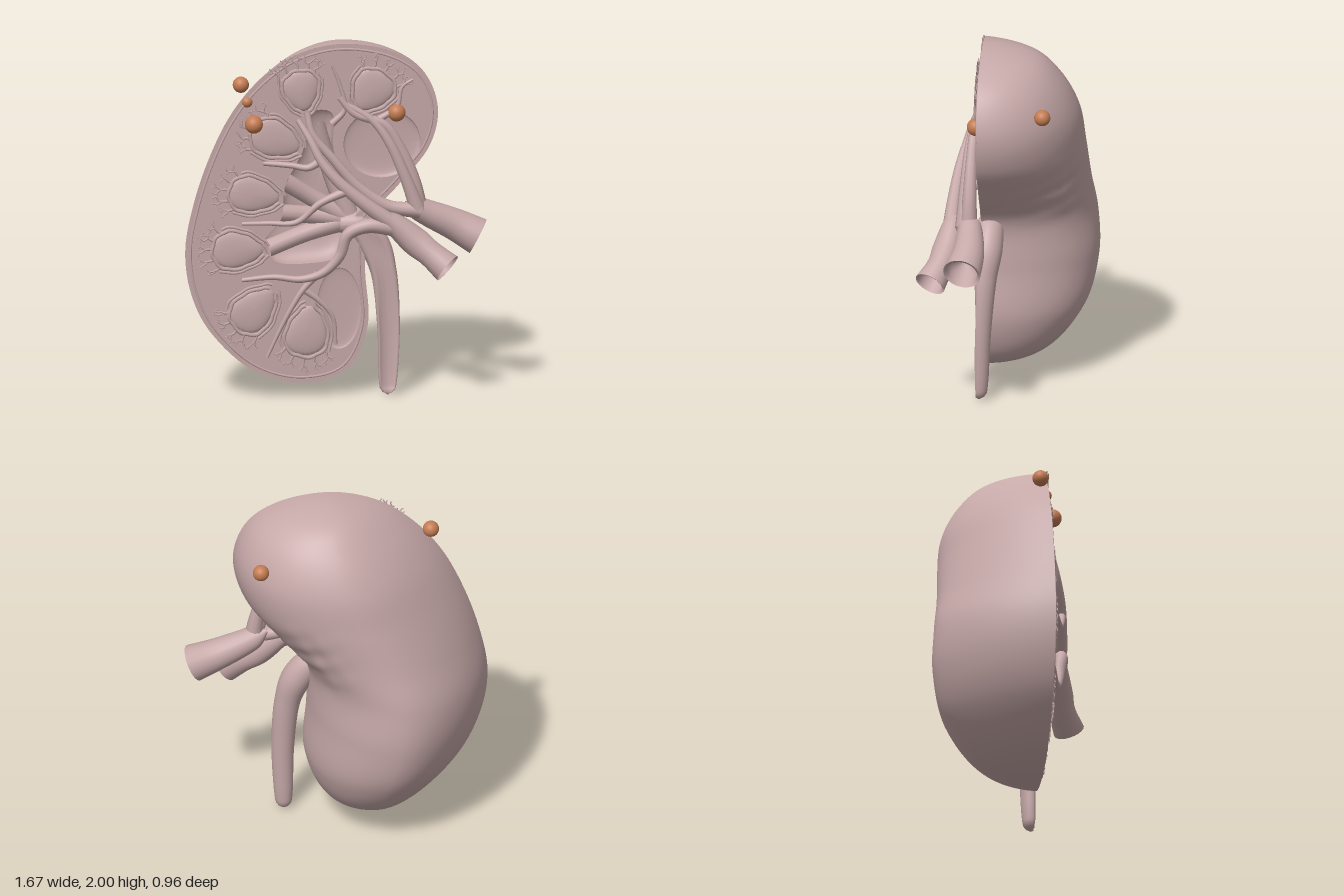
import * as THREE from 'three';
import { mergeGeometries } from 'three/addons/utils/BufferGeometryUtils.js';

const V = (x, y, z = 0) => new THREE.Vector3(x, y, z);
const FACE = 0.14; // z of the cut plane
const tissue = new THREE.MeshStandardMaterial({ color: 0xc6a8a8, side: THREE.DoubleSide });
const orange = new THREE.MeshStandardMaterial({ color: 0xc47c52 });

let seed = 7;
const rnd = () => (seed = (seed * 16807) % 2147483647) / 2147483647;

function add(parent, name, geometry, material = tissue) {
  const mesh = new THREE.Mesh(geometry, material);
  mesh.name = name;
  parent.add(mesh);
  return mesh;
}

// Surface from a grid of points, rows by columns
function gridSurface(rows, cols, at) {
  const pos = [], idx = [];
  for (let i = 0; i <= rows; i++)
    for (let j = 0; j <= cols; j++) {
      pos.push(...at(i / rows, j / cols));
      if (i < rows && j < cols) {
        const a = i * (cols + 1) + j, b = a + cols + 1;
        idx.push(a, b, a + 1, b, b + 1, a + 1);
      }
    }
  const g = new THREE.BufferGeometry();
  g.setAttribute('position', new THREE.Float32BufferAttribute(pos, 3));
  g.setIndex(idx);
  g.computeVertexNormals();
  return g;
}

// Tube through [x, y, z, radius] points
function taperTube(pts, n = 32, sides = 12) {
  const curve = new THREE.CatmullRomCurve3(pts.map(p => V(p[0], p[1], p[2])));
  const radii = new THREE.CatmullRomCurve3(pts.map(p => V(p[3], 0)), false, 'catmullrom', 0.5);
  const g = new THREE.TubeGeometry(curve, n, 1, sides);
  const pos = g.attributes.position, v = V(0, 0);
  for (let i = 0; i <= n; i++) {
    const t = curve.getUtoTmapping(i / n), c = curve.getPoint(t);
    const r = Math.max(radii.getPoint(t).x, 0.0005);
    for (let j = 0; j <= sides; j++) {
      const k = i * (sides + 1) + j;
      v.fromBufferAttribute(pos, k).sub(c).multiplyScalar(r).add(c);
      pos.setXYZ(k, v.x, v.y, v.z);
    }
  }
  return g;
}

// Vessel that sinks from height z0 to the cut face while thinning from r0 to r1
function vessel(parent, z0, r0, r1, path) {
  add(parent, 'branchVessel', taperTube(path.map(([x, y], i) => {
    const t = i / (path.length - 1);
    return [x, y, z0 + (FACE + 0.015 - z0) * t ** 1.7, r0 + (r1 - r0) * t ** 0.7];
  }), 40, 10));
}

// Outline of the cut face: top, left edge, bottom, right edge
const outline = new THREE.CatmullRomCurve3([
  [0.03, 2], [-0.22, 1.945], [-0.42, 1.81], [-0.58, 1.62], [-0.7, 1.38], [-0.79, 1.11], [-0.835, 0.85],
  [-0.8, 0.6], [-0.69, 0.38], [-0.47, 0.17], [-0.2, 0.085], [0.06, 0.15], [0.18, 0.4], [0.165, 0.72],
  [0.18, 0.99], [0.35, 1.19], [0.52, 1.4], [0.57, 1.62], [0.49, 1.83], [0.3, 1.955],
].map(p => V(...p)), true, 'catmullrom', 0.5);
const depth = new THREE.CatmullRomCurve3(
  [0, 0.28, 0.43, 0.53, 0.56, 0.58, 0.61, 0.615, 0.54, 0.33, 0].map(d => V(d, 0)), false, 'catmullrom', 0.5);

// Domed back: half ellipses spanning the outline, wrinkled at the notch
function domeGeometry() {
  return gridSurface(88, 64, (u, s) => {
    const L = outline.getPoint(u / 2), R = outline.getPoint((1 - u / 2) % 1);
    const a = s * Math.PI, sin = Math.sin(a);
    let c = Math.cos(a);
    if (c < 0) c *= 1 - 0.24 * sin;
    const k = (1 - c) / 2;
    const x = R.x + (L.x - R.x) * k, y = R.y + (L.y - R.y) * k;
    const g = Math.exp(-((x - 0.24) ** 2 + (y - 1.12) ** 2) / 0.03);
    const wrinkle = g * sin * (0.025 + 0.014 * Math.sin(40 * y + 22 * x) + 0.01 * Math.sin(31 * y - 47 * x));
    return [x, y, FACE - depth.getPoint(u).x * sin + wrinkle];
  });
}

const oval = (cx, cy, rx, ry) => Array.from({ length: 40 }, (_, i) => {
  const a = i / 40 * Math.PI * 2;
  return V(cx + rx * Math.cos(a), cy + ry * Math.sin(a));
});

// Hollow with steep walls and a flattish floor behind a closed contour
function bowl(contour, cx, cy, deep) {
  const n = contour.length;
  return gridSurface(12, n, (u, s) => {
    const p = contour[(n - Math.round(s * n)) % n], a = u * Math.PI / 2, k = Math.cos(a) ** 0.7;
    return [cx + (p.x - cx) * k, cy + (p.y - cy) * k, FACE - deep * Math.sin(a) ** 0.5];
  });
}

// Teardrop outline of a pyramid, wide end pointing along its angle
function teardrop({ x, y, rx, ry, a }, s, grow) {
  const u = Math.cos(s) * rx * grow, v = Math.sin(s) * ry * grow * (1 + 0.3 * Math.cos(s));
  return V(x + u * Math.cos(a) - v * Math.sin(a), y + u * Math.sin(a) + v * Math.cos(a), FACE);
}

// Forking twig lying on the cut face
function twig(out, p, a, len, r, level) {
  const bend = () => (rnd() - 0.5) * 0.02;
  const dx = Math.cos(a) * len, dy = Math.sin(a) * len, end = V(p.x + dx, p.y + dy, p.z);
  out.push(taperTube([[p.x, p.y, p.z, r], [p.x + dx / 2 + bend(), p.y + dy / 2 + bend(), p.z, r * 0.9],
    [end.x, end.y, end.z, r * 0.75]], 3, 5));
  if (level > 0)
    for (const side of [-1, 1]) twig(out, end, a + side * (0.2 + rnd() * 0.7), len * (0.55 + rnd() * 0.35), r * 0.72, level - 1);
}

export function createModel() {
  const model = new THREE.Group();
  model.name = 'organSection';
  add(model, 'domedBack', domeGeometry());

  // Cut face with three hollows
  const sinus = new THREE.CatmullRomCurve3([
    [-0.12, 1.62], [-0.18, 1.4], [-0.28, 1.2], [-0.3, 1.02], [-0.4, 0.88], [-0.34, 0.78],
    [-0.15, 0.76], [0.02, 0.8], [0.11, 1.02], [0.2, 1.12], [0.06, 1.22], [-0.01, 1.4], [-0.02, 1.61],
  ].map(p => V(...p)), true).getPoints(64).slice(0, 64);
  const hollows = [
    ['sinusHollow', sinus, -0.1, 1.1, 0.12],
    ['upperHollow', oval(0.26, 1.43, 0.215, 0.195), 0.26, 1.43, 0.03],
    ['lowerHollow', oval(0.02, 0.5, 0.125, 0.23), 0.02, 0.5, 0.015],
  ];
  const flat = pts => pts.map(p => new THREE.Vector2(p.x, p.y));
  const shape = new THREE.Shape(flat(outline.getPoints(160).slice(0, 160)));
  for (const [name, contour, cx, cy, deep] of hollows) {
    shape.holes.push(new THREE.Path(flat(contour)));
    add(model, name, bowl(contour, cx, cy, deep));
  }
  add(model, 'cutFace', new THREE.ShapeGeometry(shape)).position.z = FACE;

  // Raised capsule line just inside the edge
  const rim = Array.from({ length: 100 }, (_, i) => {
    const p = outline.getPoint(i / 100), t = outline.getTangent(i / 100);
    return V(p.x - t.y * 0.03, p.y + t.x * 0.03, FACE);
  });
  add(model, 'capsuleRim', new THREE.TubeGeometry(new THREE.CatmullRomCurve3(rim, true), 200, 0.007, 6, true));

  // Pyramids, each with a vessel border and twigs on the outer side
  const pyramids = [
    [-0.19, 1.74, 0.115, 0.095, 1.75], [0.2, 1.73, 0.12, 0.11, 1.0], [-0.33, 1.47, 0.14, 0.1, 2.7],
    [-0.45, 1.16, 0.14, 0.095, 2.95], [-0.54, 0.85, 0.14, 0.1, 3.1], [-0.45, 0.51, 0.14, 0.105, 3.95],
    [-0.16, 0.38, 0.14, 0.11, 4.6],
  ];
  const twigs = [], borders = [];
  for (const [x, y, rx, ry, a] of pyramids) {
    const p = { x, y, rx, ry, a };
    add(model, 'pyramid', gridSurface(6, 32, (u, s) => {
      const q = teardrop(p, -s * Math.PI * 2, Math.cos(u * Math.PI / 2));
      return [q.x, q.y, FACE + 0.02 * Math.sin(u * Math.PI / 2)];
    }));
    const border = (grow, r) => Array.from({ length: 25 }, (_, i) => {
      const q = teardrop(p, -2.85 + i / 24 * 5.7, grow + 0.03 * Math.sin(i * 2.1));
      return [q.x, q.y, FACE + 0.018, r];
    });
    // The outer border is broken at the wide end
    const outer = border(1.25, 0.008);
    borders.push(taperTube(border(1.06, 0.011), 60, 6), taperTube(outer.slice(0, 9), 20, 6), taperTube(outer.slice(16), 20, 6));
    for (let k = -2; k <= 2; k++) {
      const q = teardrop(p, k * 0.42, 1.06);
      twig(twigs, V(q.x, q.y, FACE + 0.018), a + k * 0.3, 0.04, 0.008, 2);
    }
  }
  add(model, 'pyramidBorders', mergeGeometries(borders));
  add(model, 'cortexTwigs', mergeGeometries(twigs));

  // Collecting branches fan out from one hub inside the sinus
  for (const [x, y] of [[-0.28, 1.22], [-0.31, 1.04], [-0.37, 0.84], [-0.1, 1.53]])
    add(model, 'collectingBranch', taperTube([[0.09, 0.99, 0.07, 0.06], [(x + 0.07) / 2, (y + 0.99) / 2, 0.06, 0.05], [x, y, 0.09, 0.05]]));

  // Drain tube, cut open into a gutter at the front
  const drain = taperTube([[0.03, 0.97, 0.09, 0.05], [0.13, 0.96, 0.095, 0.075], [0.22, 0.85, 0.105, 0.085], [0.27, 0.7, 0.12, 0.072],
    [0.295, 0.4, 0.14, 0.063], [0.292, 0.12, 0.145, 0.053], [0.29, 0.03, 0.145, 0.04], [0.29, 0.002, 0.145, 0]], 60, 24);
  const dp = drain.attributes.position;
  for (let i = 0; i < dp.count; i++)
    if (dp.getZ(i) > 0.165) dp.setZ(i, 0.165 - (dp.getZ(i) - 0.165) * 0.6);
  drain.computeVertexNormals();
  add(model, 'drainTube', drain);

  // Two open trunks, with walls folded back into the bore
  const trunk = (name, pts) => {
    add(model, name, taperTube(pts, 32, 20));
    const [p, q] = pts.slice(-2);
    const inside = (k, r) => [0, 1, 2].map(i => q[i] + (p[i] - q[i]) * k).concat(q[3] * r);
    add(model, name + 'Bore', taperTube([q, inside(0.03, 0.84), inside(0.5, 0.72), inside(0.8, 0)], 16, 20));
  };
  trunk('rearTrunk', [[0.38, 1.1, 0.19, 0.01], [0.44, 1.07, 0.185, 0.06], [0.52, 1.03, 0.18, 0.075], [0.66, 0.965, 0.18, 0.09], [0.785, 0.9, 0.205, 0.105]]);
  trunk('frontTrunk', [[0.2, 1.06, 0.29, 0.02], [0.3, 1.01, 0.29, 0.06], [0.42, 0.91, 0.315, 0.08], [0.5, 0.845, 0.345, 0.074], [0.59, 0.77, 0.395, 0.087]]);

  // Vessels from the rear trunk to the upper pyramids
  vessel(model, 0.19, 0.05, 0.016, [[0.46, 1.05], [0.43, 1.22], [0.36, 1.4], [0.27, 1.54], [0.1, 1.61], [0.02, 1.7]]);
  vessel(model, 0.22, 0.045, 0.016, [[0.45, 1.06], [0.38, 1.25], [0.29, 1.45], [0.2, 1.57], [0.06, 1.66]]);
  vessel(model, 0.22, 0.045, 0.018, [[0.46, 1.06], [0.28, 1.09], [0.12, 1.2], [-0.02, 1.36], [-0.13, 1.5], [-0.16, 1.62]]);
  vessel(model, 0.15, 0.02, 0.008, [[-0.02, 1.55], [0.05, 1.63], [0.02, 1.78], [-0.02, 1.88]]);
  vessel(model, 0.16, 0.02, 0.007, [[0.24, 1.57], [0.34, 1.64], [0.37, 1.75], [0.43, 1.79]]);
  // Vessels from the front trunk to the middle and lower pyramids
  vessel(model, 0.3, 0.05, 0.016, [[0.34, 0.98], [0.15, 1.12], [0, 1.25], [-0.09, 1.36], [-0.15, 1.48], [-0.21, 1.58]]);
  vessel(model, 0.22, 0.024, 0.014, [[-0.09, 1.36], [-0.16, 1.32], [-0.25, 1.33], [-0.4, 1.34]]);
  vessel(model, 0.28, 0.026, 0.01, [[0.05, 1.2], [-0.1, 1.13], [-0.23, 1.02], [-0.38, 1.01], [-0.52, 1]]);
  vessel(model, 0.3, 0.05, 0.012, [[0.34, 0.98], [0.16, 1], [0.05, 0.95], [0.01, 0.83], [-0.08, 0.73], [-0.2, 0.69], [-0.35, 0.7], [-0.52, 0.68]]);
  vessel(model, 0.2, 0.022, 0.009, [[-0.1, 0.72], [-0.19, 0.62], [-0.25, 0.52], [-0.31, 0.4], [-0.38, 0.24]]);
  vessel(model, 0.19, 0.02, 0.01, [[-0.19, 0.63], [-0.1, 0.56], [-0.02, 0.46], [0, 0.3]]);

  // Marker balls
  for (const [x, y, z, r] of [[-0.52, 1.775, 0.095, 0.045], [-0.49, 1.685, 0.13, 0.031], [-0.457, 1.565, 0.17, 0.05],
    [0.338, 1.605, 0.16, 0.049], [0.435, 1.7, -0.215, 0.045]])
    add(model, 'markerBall', new THREE.SphereGeometry(r, 24, 16), orange).position.set(x, y, z);
  return model;
}
